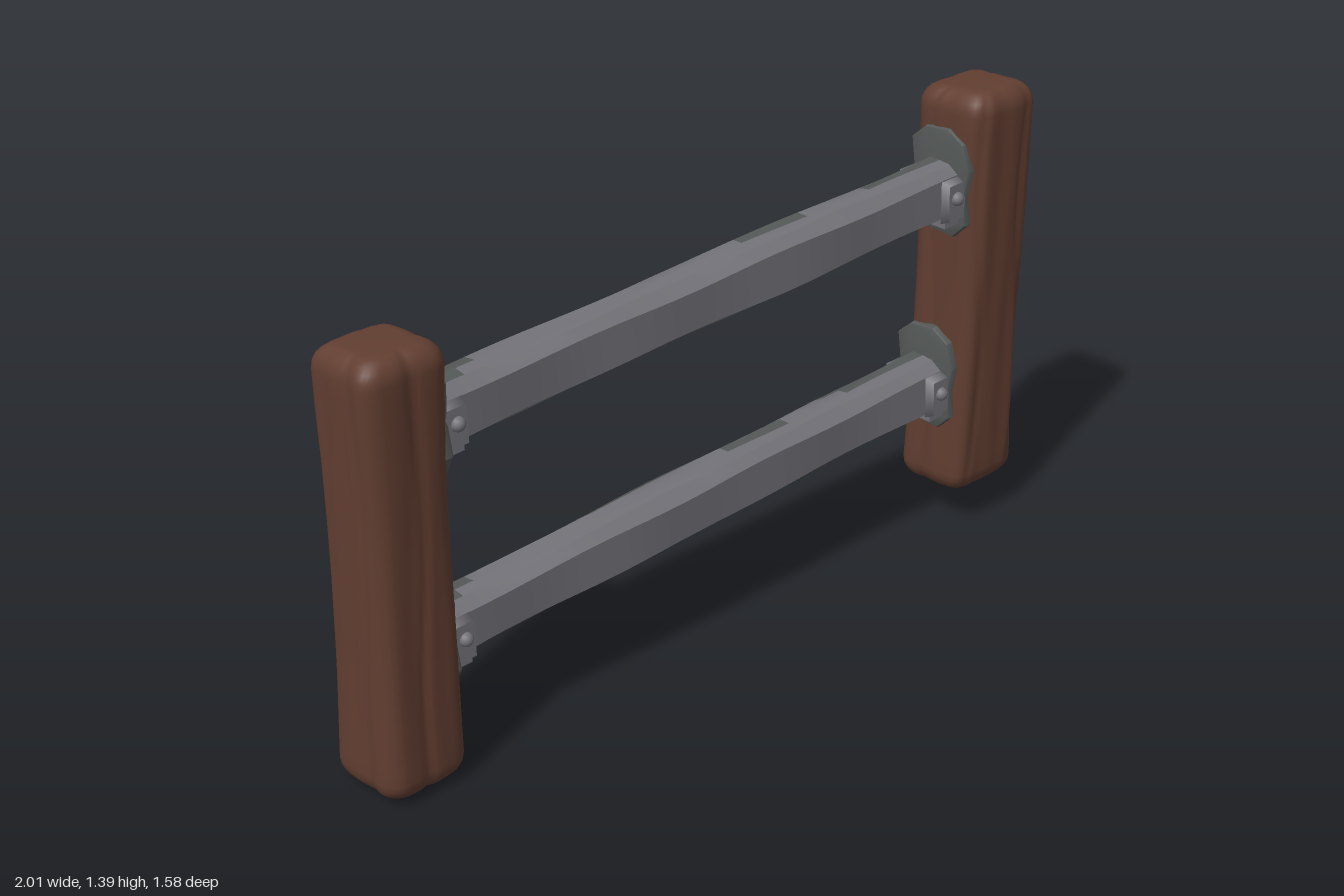
import * as THREE from 'three';
import { toCreasedNormals } from 'three/addons/utils/BufferGeometryUtils.js';

const material = (name, color, extra = {}) => {
  const m = new THREE.MeshStandardMaterial({ color, ...extra });
  m.name = name;
  return m;
};

// Skin closed rings of points into a solid; slot(face, segment) picks the material of a quad.
function loft(rings, slot = () => 0) {
  const n = rings[0].length;
  const pos = rings.flat().flatMap(p => p.toArray());
  const buckets = [[], []];
  for (let i = 0; i < rings.length - 1; i++) {
    for (let j = 0; j < n; j++) {
      const k = (j + 1) % n, a = i * n + j, b = i * n + k, c = b + n, d = a + n;
      buckets[slot(j, i)].push(a, b, c, a, c, d);
    }
  }
  [0, rings.length - 1].forEach((i, end) => {
    const centre = rings[i].reduce((s, p) => s.add(p), new THREE.Vector3()).divideScalar(n);
    const c = pos.length / 3;
    pos.push(...centre.toArray());
    for (let j = 0; j < n; j++) {
      const a = i * n + j, b = i * n + (j + 1) % n;
      buckets[0].push(c, ...(end ? [a, b] : [b, a]));
    }
  });
  const g = new THREE.BufferGeometry();
  g.setAttribute('position', new THREE.Float32BufferAttribute(pos, 3));
  g.setIndex(buckets.flat());
  g.addGroup(0, buckets[0].length, 0);
  g.addGroup(buckets[0].length, buckets[1].length, 1);
  g.computeVertexNormals();
  return g;
}

// Points around a rounded square, counter-clockwise seen from above
function roundedSquare(half, radius, count) {
  const s = new THREE.Shape(), e = half - radius;
  s.moveTo(half, -e);
  s.lineTo(half, e).absarc(e, e, radius, 0, Math.PI / 2);
  s.lineTo(-e, half).absarc(-e, e, radius, Math.PI / 2, Math.PI);
  s.lineTo(-half, -e).absarc(-e, -e, radius, Math.PI, Math.PI * 1.5);
  s.lineTo(e, -half).absarc(e, -e, radius, Math.PI * 1.5, Math.PI * 2);
  return s.getSpacedPoints(count).slice(0, count);
}

// Leaning, slightly waisted timber post with vertical grain and rounded ends
function postGeometry(path, seed) {
  const section = roundedSquare(0.124, 0.048, 72);
  const curve = new THREE.CatmullRomCurve3(path.map(p => new THREE.Vector3(...p)));
  const [y0, y1] = [path[0][1], path[2][1]], round = 0.065;
  const levels = [];
  for (let i = 0; i <= 5; i++) {
    const a = i / 5 * Math.PI / 2;
    levels.push([y0 + round * (1 - Math.cos(a)), 0.56 + 0.44 * Math.sin(a)]);
  }
  for (let i = 1; i < 24; i++) levels.push([y0 + round + (y1 - y0 - 2 * round) * i / 24, 1]);
  for (let i = 5; i >= 0; i--) {
    const a = i / 5 * Math.PI / 2;
    levels.push([y1 - round * (1 - Math.cos(a)), 0.56 + 0.44 * Math.sin(a)]);
  }
  return loft(levels.map(([y, inset]) => {
    const t = (y - y0) / (y1 - y0), c = curve.getPoint(t);
    const waist = 1.02 - 0.06 * Math.sin(Math.PI * t) - 0.02 * t;
    return section.map(p => {
      const a = Math.atan2(p.y, p.x);
      const drift = 0.12 * Math.sin(5 * y + seed);
      const crack = Math.pow(Math.abs(Math.cos(2.5 * (a + drift) + seed)), 40);
      const grain = 0.014 * Math.sin(9 * a + seed + Math.sin(4 * y)) + 0.01 * Math.sin(3 * a + 7 * y + seed);
      const k = inset * (waist + grain - 0.05 * crack);
      return new THREE.Vector3(c.x + p.x * k, y + p.y * -0.04, c.z - p.y * k);
    });
  }));
}

// Hammered metal rail with worn dark patches on top and a dark underside
function railGeometry(y, slope, z, seed) {
  const profile = [[0.076, -0.035], [0.079, 0], [0.076, 0.035], [0.05, 0.07], [-0.066, 0.073],
    [-0.077, 0.055], [-0.077, -0.055], [-0.066, -0.073], [0.05, -0.07]];
  const segments = 32, length = 1.88;
  const at = i => -length / 2 + length * i / segments;
  const rings = [];
  for (let i = 0; i <= segments; i++) {
    const u = at(i);
    const bow = 0.008 * Math.sin(3.2 * u + seed), swell = 1 + 0.03 * Math.sin(6 * u + seed);
    rings.push(profile.map(([py, pz], j) => new THREE.Vector3(
      u,
      y + slope * u + bow * 0.6 + py * swell + 0.002 * Math.sin(9 * u + 2 * j),
      z + bow - 0.006 * Math.cos(1.6 * u) + pz * swell + 0.06 * py + 0.002 * Math.sin(11 * u + 3 * j))));
  }
  const slot = (face, i) => {
    const u = at(i + 0.5);
    if (face === 5) return 1;
    if (face === 0) return (u < -0.74 || (u > 0.1 && u < 0.36) || u > 0.58) ? 1 : 0;
    if (face === 1) return u < -0.82 ? 1 : 0;
    if (face === 8) return Math.sin(7 * u + seed) > -0.5 ? 1 : 0;
    if (face === 4) return u > 0.15 && u < 0.6 ? 1 : 0;
    if (face === 6) return Math.sin(5 * u + seed) > 0.3 ? 1 : 0;
    return 0;
  };
  return toCreasedNormals(loft(rings, slot), 0.45);
}

// Uneven mounting plate, facing +z before it is turned
function plateGeometry() {
  const s = new THREE.Shape([[-0.07, -0.145], [0.05, -0.15], [0.09, -0.11], [0.085, -0.03], [0.1, 0.05],
    [0.08, 0.12], [0.03, 0.15], [-0.05, 0.14], [-0.095, 0.1], [-0.085, 0.0], [-0.1, -0.09]]
    .map(p => new THREE.Vector2(...p)));
  const g = new THREE.ExtrudeGeometry(s, { depth: 0.03, bevelThickness: 0.008, bevelSize: 0.008, bevelSegments: 2 });
  g.translate(0, 0, -0.015);
  return toCreasedNormals(g, 0.5);
}

export function createModel() {
  const wood = material('brown wood', 0x633f32);
  const steel = material('grey metal', 0x727278);
  const worn = material('dark worn metal', 0x545857);

  const model = new THREE.Group();
  model.name = 'fence';
  const fence = new THREE.Group();
  fence.name = 'fenceSection';
  fence.rotation.y = 0.613;
  model.add(fence);
  const add = (parent, name, geometry, mat, x = 0, y = 0, z = 0) => {
    const m = new THREE.Mesh(geometry, mat);
    m.name = name;
    m.position.set(x, y, z);
    parent.add(m);
    return m;
  };

  // Posts
  add(fence, 'rightPost', postGeometry([[-1.014, 0.005, -0.035], [-1.04, 0.66, 0], [-1.066, 1.265, 0.039]], 0.6), wood);
  add(fence, 'leftPost', postGeometry([[1.059, 0.115, -0.038], [1.03, 0.75, 0.003], [0.999, 1.385, 0.03]], 2.3), wood);

  // Rails, each held at both ends by a plate and a riveted clamp
  const plate = plateGeometry();
  const rivet = new THREE.SphereGeometry(0.02, 12, 8);
  const tab = new THREE.CylinderGeometry(0.062, 0.074, 0.026, 4, 1).rotateY(Math.PI / 4).rotateX(Math.PI / 2);
  const rails = [
    { name: 'upper', y: 1.063, slope: 0.047, z: 0.012, seed: 0.4, ends: [-0.945, 0.9] },
    { name: 'lower', y: 0.435, slope: 0.05, z: -0.036, seed: 2.1, ends: [-0.915, 0.925] },
  ];
  for (const r of rails) {
    add(fence, r.name + 'Rail', railGeometry(r.y, r.slope, r.z, r.seed), [steel, worn]);
    r.ends.forEach((u, i) => {
      const side = i ? -1 : 1;
      const bracket = new THREE.Group();
      bracket.name = r.name + (i ? 'Left' : 'Right') + 'Bracket';
      bracket.position.set(u, r.y + r.slope * u, r.z);
      bracket.rotation.z = 0.04;
      fence.add(bracket);
      add(bracket, 'plate', plate, worn, 0, 0.015, 0).rotation.y = side * Math.PI / 2;
      for (const face of [-1, 1]) {
        const clamp = add(bracket, 'clamp', tab, steel, side * 0.042, -0.015, face * 0.08);
        clamp.scale.set(0.85, 1.2, 1);
        if (face < 0) clamp.rotation.y = Math.PI;
        add(bracket, 'rivet', rivet, steel, side * 0.05, -0.005, face * 0.094);
      }
      add(bracket, 'collar', new THREE.BoxGeometry(0.075, 0.02, 0.15), steel, side * 0.04, -0.084, 0);
    });
  }
  return model;
}
